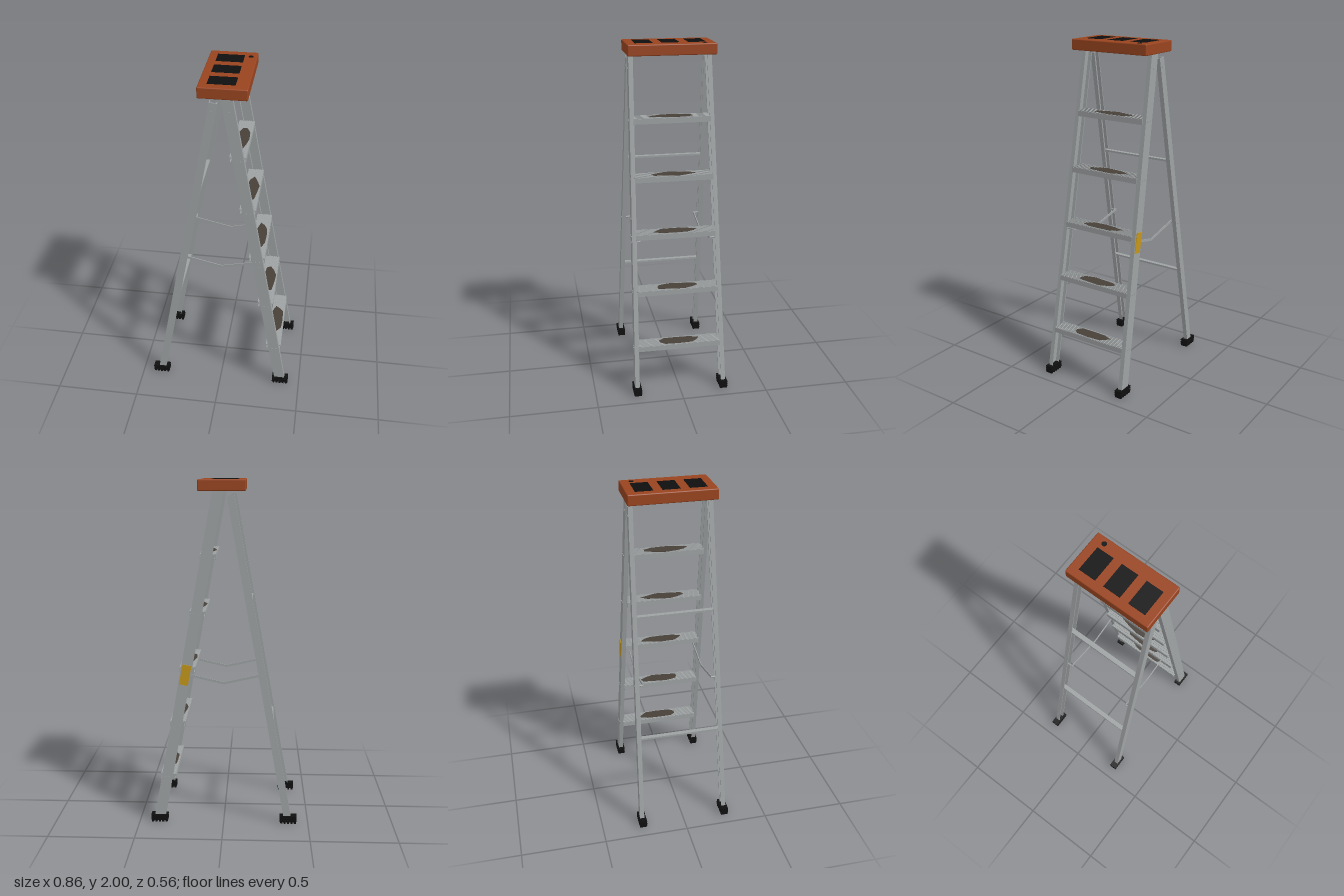
import * as THREE from 'three';
import { RoundedBoxGeometry } from 'three/addons/geometries/RoundedBoxGeometry.js';

const material = (name, color) => new THREE.MeshStandardMaterial({ name, color });

export function createModel() {
  const aluminium = material('aluminium', 0x9ea2a3);
  const capPlastic = material('cap orange', 0x99441f);
  const rubber = material('black rubber', 0x0f0f0f);
  const grime = material('worn tread', 0x484039);
  const yellow = material('label yellow', 0xc4981c);

  const model = new THREE.Group();
  model.name = 'stepLadder';

  function add(name, geometry, mat, x = 0, y = 0, z = 0, parent = model) {
    const mesh = new THREE.Mesh(geometry, mat);
    mesh.name = name;
    mesh.position.set(x, y, z);
    parent.add(mesh);
    return mesh;
  }
  const polygon = (points) => new THREE.Shape(points.map((p) => new THREE.Vector2(...p)));

  // Centre lines of the rails: x by height, and their outer z by height
  const FRONT = { x0: 0.377, x1: 0.031, y1: 1.945, width: 0.063 };
  const REAR = { x0: -0.377, x1: -0.038, y1: 1.91, width: 0.043 };
  const Y0 = 0.04;
  const railX = (r, y) => r.x0 + ((r.x1 - r.x0) * (y - Y0)) / (r.y1 - Y0);
  const outerZ = (y) => 0.271 - 0.0184 * (y - Y0);
  const lean = (r) => Math.atan2(r.x0 - r.x1, r.y1 - Y0);

  // C-channel rail, open towards the middle of the ladder
  function addRail(name, r, side) {
    const w = r.width / 2, d = 0.026, t = 0.005;
    const shape = polygon([[-w, 0], [w, 0], [w, -d], [w - t, -d], [w - t, -t],
      [t - w, -t], [t - w, -d], [-w, -d]]);
    const geo = new THREE.ExtrudeGeometry(shape, { depth: 1, bevelEnabled: false });
    geo.rotateX(Math.PI / 2).translate(0, 1, 0);
    if (side < 0) geo.rotateY(Math.PI);
    const a = lean(r), p = geo.attributes.position;
    for (let i = 0; i < p.count; i++) {
      const across = p.getX(i);
      const y = Y0 - 0.01 + p.getY(i) * (r.y1 - Y0 + 0.01);
      p.setXYZ(i, railX(r, y) + across * Math.cos(a), y + across * Math.sin(a),
        p.getZ(i) + side * outerZ(y));
    }
    geo.computeVertexNormals();
    add(name, geo, aluminium);
  }

  // Small round fastener on the outer face of a rail
  function addRivet(x, y, side, r = 0.006) {
    const geo = new THREE.CylinderGeometry(r, r, 0.005, 8).rotateX(Math.PI / 2);
    add('rivet', geo, aluminium, x, y, side * (outerZ(y) + 0.001));
  }

  // Ribbed foot block
  function addFoot(x, side) {
    const foot = new THREE.Group();
    foot.name = 'foot';
    foot.position.set(x, 0, side * 0.257);
    add('footBlock', new THREE.BoxGeometry(0.094, 0.036, 0.04), rubber, 0, 0.027, 0, foot);
    for (const y of [0.016, 0.029, 0.042]) {
      add('footRib', new THREE.BoxGeometry(0.1, 0.007, 0.045), rubber, 0, y, 0, foot);
    }
    for (let i = -2; i <= 2; i++) {
      add('footTread', new THREE.BoxGeometry(0.012, 0.012, 0.042), rubber, i * 0.02, 0.006, 0, foot);
    }
    model.add(foot);
  }

  // Step: channel with ribs along its top
  const stepProfile = [[-0.046, -0.03], [-0.046, 0]];
  for (let i = -3; i <= 3; i++) {
    const x = i * 0.0135;
    stepProfile.push([x - 0.003, 0], [x - 0.003, 0.003], [x + 0.003, 0.003], [x + 0.003, 0]);
  }
  stepProfile.push([0.046, 0], [0.046, -0.03], [0.036, -0.03], [0.036, -0.026], [0.042, -0.026],
    [0.042, -0.005], [-0.042, -0.005], [-0.042, -0.026], [-0.036, -0.026], [-0.036, -0.03]);

  function addStep(index) {
    const y = 0.291 + index * 0.3245;
    const x = 0.328 - index * 0.0593;
    const half = outerZ(y) - 0.022;
    const geo = new THREE.ExtrudeGeometry(polygon(stepProfile), { depth: half * 2, bevelEnabled: false });
    add('step', geo, aluminium, x, y, -half);

    // Irregular worn patch on the tread
    const outline = [];
    for (let k = 0; k < 10; k++) {
      const a = (k / 10) * Math.PI * 2 + index * 0.3;
      const s = 0.92 + 0.1 * Math.sin(k * 2.3 + index * 1.7);
      outline.push([Math.cos(a) * 0.042 * s, Math.sin(a) * 0.135 * s]);
    }
    const patch = new THREE.ExtrudeGeometry(polygon(outline), { depth: 0.001, bevelEnabled: false });
    add('wornPatch', patch.rotateX(-Math.PI / 2), grime, x, y + 0.003, 0);

    for (const side of [1, -1]) {
      for (const dx of [-0.012, 0.012]) {
        addRivet(railX(FRONT, y - 0.012) + dx, y - 0.012, side, 0.005);
      }
    }
  }
  for (let i = 0; i < 5; i++) addStep(i);

  // Rear cross braces
  for (const y of [0.558, 1.296]) {
    const length = 2 * (outerZ(y) - 0.004);
    add('rearBrace', new THREE.BoxGeometry(0.027, 0.011, length), aluminium, railX(REAR, y), y, 0);
  }

  // Rails, feet and folding spreaders on both sides
  for (const side of [1, -1]) {
    addRail('frontRail', FRONT, side);
    addRail('rearRail', REAR, side);
    addFoot(0.381, side);
    addFoot(-0.383, side);
    addRivet(railX(FRONT, 1.86), 1.86, side);
    addRivet(railX(REAR, 1.86), 1.86, side);

    const spreader = polygon([[-0.225, 0.885], [0, 0.834], [0.225, 0.885],
      [0.225, 0.9], [0, 0.848], [-0.225, 0.9]]);
    const geo = new THREE.ExtrudeGeometry(spreader, { depth: 0.005, bevelEnabled: false });
    add('spreader', geo, aluminium, 0, 0, side * 0.205 - 0.0025);
    for (const r of [FRONT, REAR]) {
      const pin = new THREE.CylinderGeometry(0.005, 0.005, 0.055, 8).rotateX(Math.PI / 2);
      add('spreaderPin', pin, aluminium, railX(r, 0.89), 0.89, side * 0.23);
      addRivet(railX(r, 0.89), 0.89, side);
    }
  }

  // Blank label plate on the outer face of the right front rail
  const label = add('label', new THREE.BoxGeometry(0.052, 0.12, 0.004), yellow,
    railX(FRONT, 0.9), 0.9, -outerZ(0.9) - 0.002);
  label.rotation.set(-0.0184, 0, lean(FRONT));

  // Top cap with dark inset panels and a tool hole
  add('topCap', new RoundedBoxGeometry(0.266, 0.062, 0.5, 2, 0.006), capPlastic, 0.012, 1.968, 0);
  for (const z of [-0.15, 0, 0.15]) {
    add('capPanel', new THREE.BoxGeometry(0.15, 0.004, 0.1), rubber, 0, 1.998, z);
  }
  add('toolHole', new THREE.CylinderGeometry(0.014, 0.014, 0.004, 16), rubber, 0.11, 1.998, -0.185);

  return model;
}
